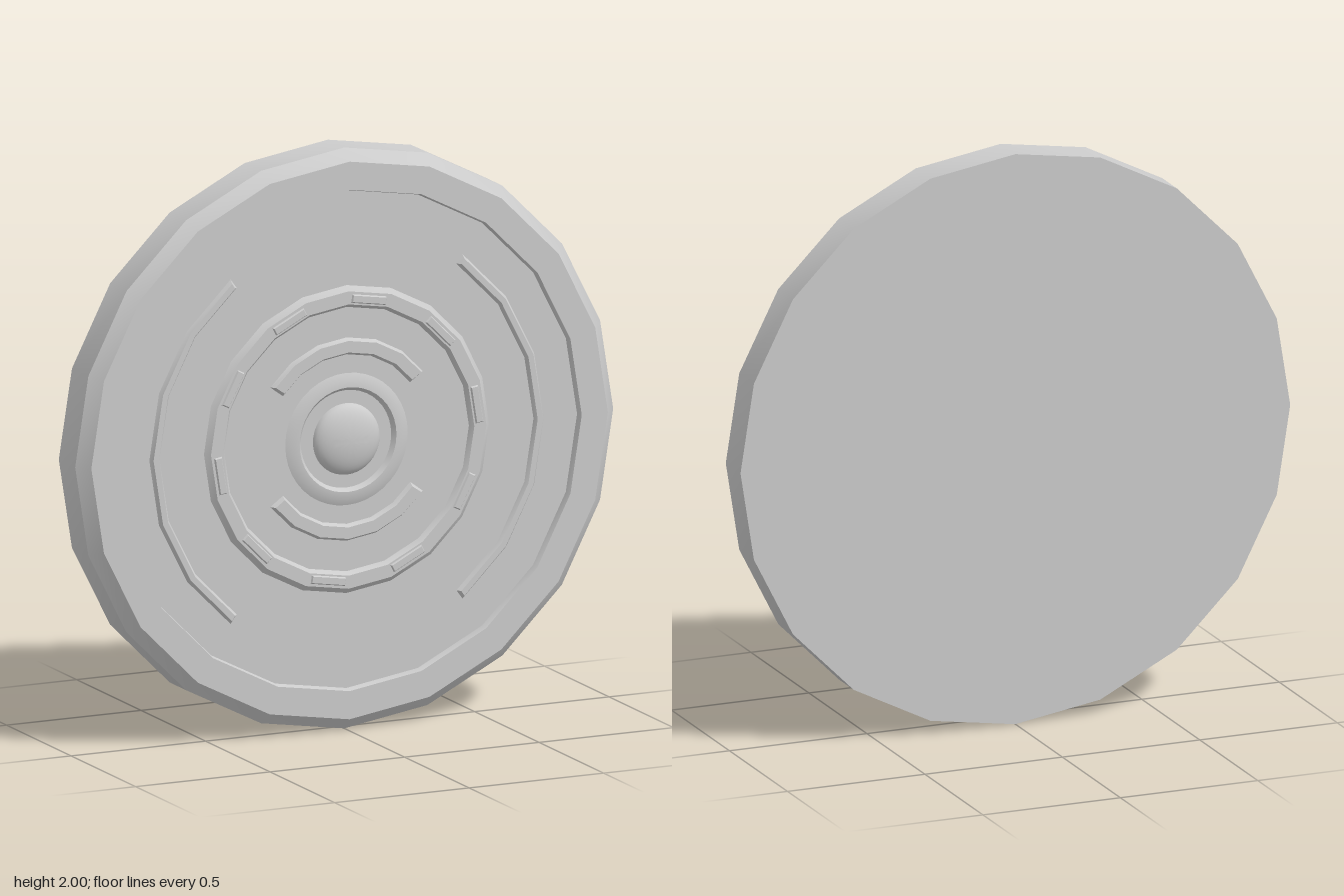
import * as THREE from 'three';
import { toCreasedNormals } from 'three/addons/utils/BufferGeometryUtils.js';

const STEP = Math.PI / 10; // the disc has 20 sides
const FLOOR = 0.05; // height of the recessed face
const material = new THREE.MeshStandardMaterial({ color: 0xcccccc });

export function createModel() {
  const group = new THREE.Group();

  const add = (name, geometry) => {
    const mesh = new THREE.Mesh(toCreasedNormals(geometry, 0.5), material);
    mesh.name = name;
    mesh.position.y = 1;
    group.add(mesh);
    return mesh;
  };

  // Profile of [radius, z] pairs turned around the z axis
  const turned = (name, profile, sides = 20) => {
    const points = profile.map(([r, z]) => new THREE.Vector2(r, z));
    return add(name, new THREE.LatheGeometry(points, sides).rotateX(Math.PI / 2));
  };

  // Flat outline raised from z0 to z1 with a chamfered upper edge
  const raised = (name, points, z0, z1, bevel) => {
    const h = z1 - z0;
    const geometry = new THREE.ExtrudeGeometry(new THREE.Shape(points), {
      depth: h, bevelEnabled: true, bevelSegments: 1,
      bevelThickness: h, bevelSize: bevel, bevelOffset: -bevel,
    });
    return add(name, geometry.translate(0, 0, z0 - h));
  };

  // Arc outline following the facets of the disc, angles in steps
  const arc = (inner, outer, from, to) => {
    const points = [];
    const at = (r, i) => new THREE.Vector2(r * Math.cos(i * STEP), r * Math.sin(i * STEP));
    for (let i = from; i <= to; i++) points.push(at(outer, i));
    for (let i = to; i >= from; i--) points.push(at(inner, i));
    return points;
  };

  // Disc with bevelled rim and recessed front
  turned('disc', [
    [0, -0.095], [1, -0.095], [1, 0.032], [0.96, 0.074],
    [0.863, 0.074], [0.857, FLOOR], [0.2, FLOOR],
  ]);

  // Chamfered ring around the centre
  turned('ring', [[0.53, FLOOR], [0.512, 0.067], [0.467, 0.067], [0.455, FLOOR]]);

  // Ten bars set on alternate facets of the ring
  for (let i = 0; i < 10; i++) {
    const a = (2 * i + 0.5) * STEP;
    const outline = [[-0.016, -0.066], [0.016, -0.066], [0.016, 0.066], [-0.016, 0.066]]
      .map(([x, y]) => new THREE.Vector2(x, y));
    const bar = raised('ringBar', outline, 0.065, 0.073, 0.005);
    bar.position.set(0.482 * Math.cos(a), 1 + 0.482 * Math.sin(a), 0);
    bar.rotation.z = a;
  }

  // Long arcs at the sides, short arcs above and below the centre
  raised('leftArc', arc(0.695, 0.733, -3, 3), FLOOR, 0.064, 0.009);
  raised('rightArc', arc(0.695, 0.733, 7, 13), FLOOR, 0.064, 0.009);
  raised('upperArc', arc(0.292, 0.35, 2, 8), FLOOR, 0.066, 0.009);
  raised('lowerArc', arc(0.292, 0.35, 12, 18), FLOOR, 0.066, 0.009);

  // Round socket holding the central dome
  turned('socket', [
    [0.23, FLOOR - 0.001], [0.205, 0.06], [0.18, 0.062], [0.168, 0.046], [0, 0.046],
  ], 40);

  const dome = [];
  for (let i = 0; i <= 10; i++) {
    const t = (i / 10) * Math.PI / 2;
    dome.push([0.123 * Math.cos(t), 0.046 + 0.049 * Math.sin(t)]);
  }
  turned('dome', dome, 40);

  return group;
}
